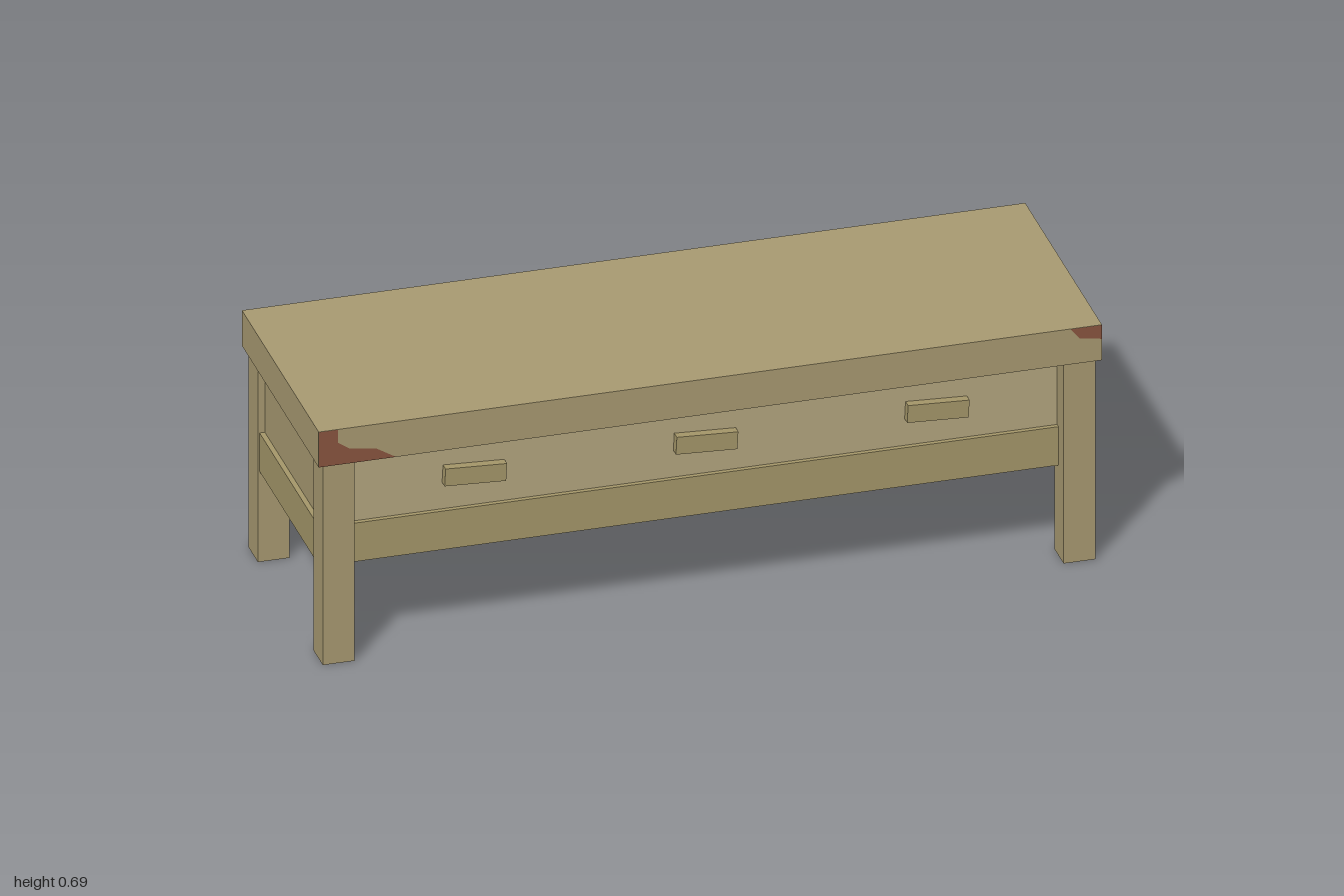
import * as THREE from 'three';

const mat = (color) => new THREE.MeshStandardMaterial({ color, flatShading: true });

export function createModel() {
  const model = new THREE.Group();
  model.name = 'lowConsoleTable';
  const wood = mat(0xa99b72);
  const railWood = mat(0xa6986a);
  const panelWood = mat(0xb5a780);
  const worn = mat(0x8a5540);

  // Box given by its centre and size
  const box = (name, [x, y, z], [w, h, d], material, parent = model) => {
    const mesh = new THREE.Mesh(new THREE.BoxGeometry(w, h, d), material);
    mesh.name = name;
    mesh.position.set(x, y, z);
    parent.add(mesh);
    return mesh;
  };

  // Flat stain on the front edge of the top
  const stain = (name, points) => {
    const shape = new THREE.Shape(points.map(([x, y]) => new THREE.Vector2(x, y)));
    const mesh = new THREE.Mesh(new THREE.ShapeGeometry(shape), worn);
    mesh.name = name;
    mesh.position.z = 0.351;
    model.add(mesh);
  };

  box('tableTop', [0, 0.634, 0], [2.1, 0.103, 0.7], wood);

  // Four square legs, set slightly in from the corners
  for (const sx of [-1, 1])
    for (const sz of [-1, 1])
      box('leg', [sx * 0.993, 0.2925, sz * 0.296], [0.085, 0.585, 0.085], wood);

  // Lower shelf block between the legs
  box('shelf', [0, 0.319, 0], [2.062, 0.112, 0.586], railWood);

  // Drawer front and end panels; the back stays open
  box('drawerFront', [0, 0.479, 0.27], [2.03, 0.212, 0.02], panelWood);
  for (const sx of [-1, 1])
    box('endPanel', [sx * 1.007, 0.479, 0], [0.02, 0.212, 0.56], wood);

  // Three drawer handles, hanging slightly askew
  for (const x of [-0.615, 0.005, 0.625]) {
    const handle = box('drawerHandle', [x, 0.473, 0.29], [0.165, 0.05, 0.028], railWood);
    handle.rotation.z = -0.05;
  }

  // Worn corners
  stain('wornLeftCorner', [[-1.05, 0.583], [-0.843, 0.583], [-0.895, 0.615], [-0.968, 0.626],
    [-0.998, 0.647], [-0.998, 0.685], [-1.05, 0.685]]);
  stain('wornRightCorner', [[0.965, 0.685], [0.99, 0.655], [1.05, 0.645], [1.05, 0.685]]);

  // The whole table stands turned on the floor
  model.rotation.y = 0.762;
  const group = new THREE.Group();
  group.name = 'table';
  group.add(model);
  return group;
}
